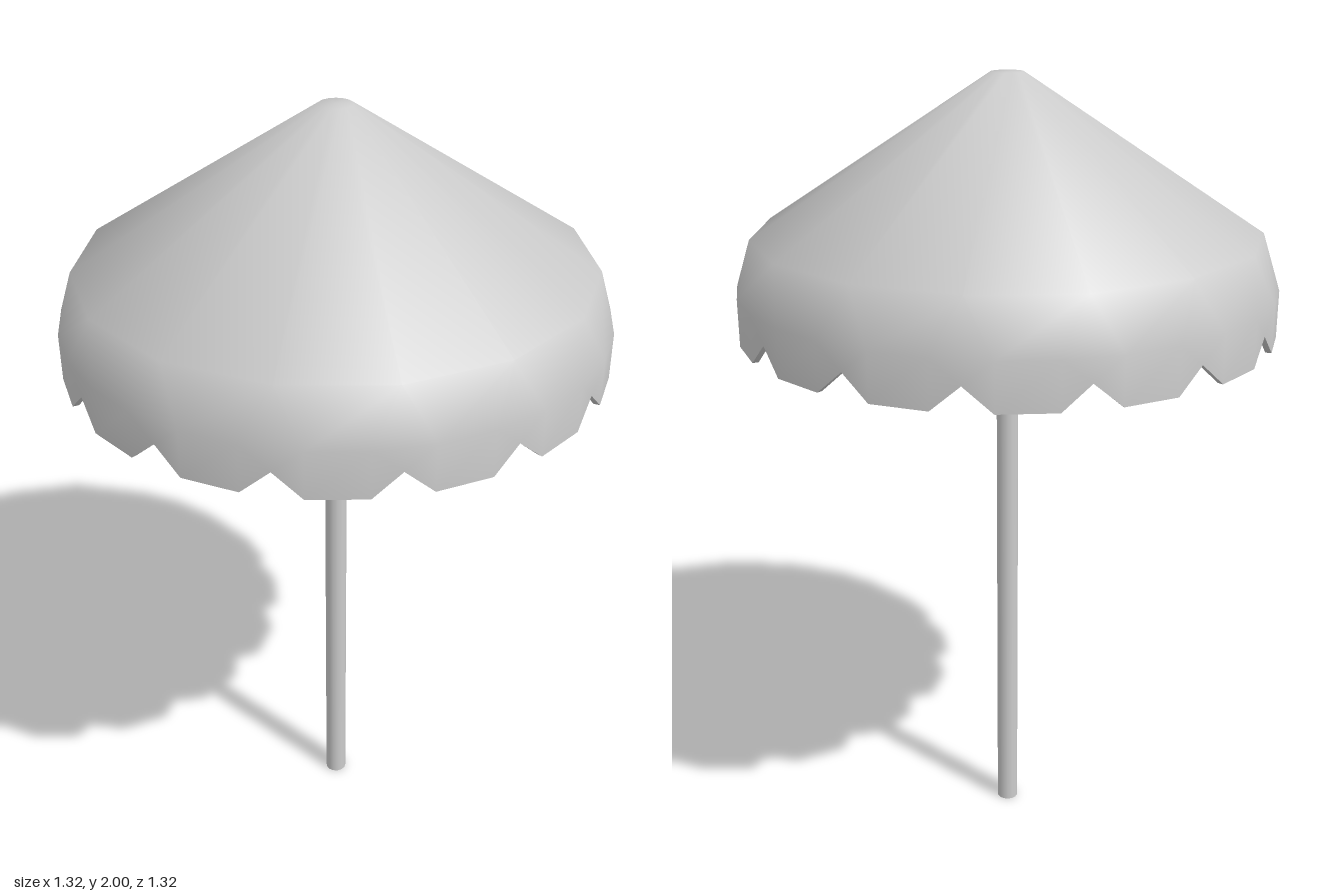
import * as THREE from 'three';
import { toCreasedNormals } from 'three/addons/utils/BufferGeometryUtils.js';

const GORES = 15;
const STEP = (Math.PI * 2) / GORES;
const START = THREE.MathUtils.degToRad(1.8); // direction of the first notch
const HALF = STEP / 4; // half the width of a notch

const polar = (r, y, a) => new THREE.Vector3(r * Math.sin(a), y, r * Math.cos(a));

// Key points of one gore, centred on its notch; t moves them inward
function gorePoints(i, t) {
  const a = START + i * STEP;
  const rim = 0.66 - t;
  return {
    centre: polar(0, 2 - t * 1.2, 0),
    top: polar(0.04, 2 - t * 1.2, a),
    eave: polar(0.62 - t * 0.8, 1.625 - t * 0.8, a),
    bellyL: polar(rim, 1.5, a - HALF),
    bellyR: polar(rim, 1.5, a + HALF),
    hemL: polar(rim, 1.385, a - HALF),
    hemR: polar(rim, 1.385, a + HALF),
    notch: polar(rim * Math.cos(HALF), 1.443, a),
  };
}

// Closed canopy shell: outer cloth, inner cloth and the scalloped hem between
function canopyGeometry(thickness) {
  const pos = [];
  const tri = (...pts) => pts.forEach((p) => pos.push(p.x, p.y, p.z));
  const quad = (a, b, c, d) => { tri(a, b, c); tri(a, c, d); };

  for (let i = 0; i < GORES; i++) {
    for (const t of [0, thickness]) {
      const g = gorePoints(i, t);
      const n = gorePoints(i + 1, t);
      // the inner cloth is wound the other way
      const T = (a, b, c) => (t ? tri(a, c, b) : tri(a, b, c));
      const Q = (a, b, c, d) => { T(a, b, c); T(a, c, d); };
      T(g.centre, g.top, n.top);
      Q(g.eave, n.eave, n.top, g.top);
      T(g.bellyL, g.bellyR, g.eave);
      Q(g.bellyR, n.bellyL, n.eave, g.eave);
      // V notch, then the straight flap beside it
      T(g.hemL, g.notch, g.bellyL);
      T(g.notch, g.bellyR, g.bellyL);
      T(g.notch, g.hemR, g.bellyR);
      Q(g.hemR, n.hemL, n.bellyL, g.bellyR);
    }
    // hem edge
    const o = gorePoints(i, 0), k = gorePoints(i, thickness);
    const on = gorePoints(i + 1, 0), kn = gorePoints(i + 1, thickness);
    quad(k.hemL, k.notch, o.notch, o.hemL);
    quad(k.notch, k.hemR, o.hemR, o.notch);
    quad(k.hemR, kn.hemL, on.hemL, o.hemR);
  }
  const geo = new THREE.BufferGeometry();
  geo.setAttribute('position', new THREE.Float32BufferAttribute(pos, 3));
  return toCreasedNormals(geo, THREE.MathUtils.degToRad(55));
}

export function createModel() {
  const group = new THREE.Group();
  group.name = 'parasol';
  const material = new THREE.MeshStandardMaterial({ color: 0xcccccc });

  const canopy = new THREE.Mesh(canopyGeometry(0.015), material);
  canopy.name = 'canopy';

  // Pole, reaching up to the underside of the canopy tip
  const height = 1.975;
  const pole = new THREE.Mesh(new THREE.CylinderGeometry(0.028, 0.028, height, 14), material);
  pole.name = 'pole';
  pole.position.y = height / 2;

  group.add(canopy, pole);
  return group;
}
